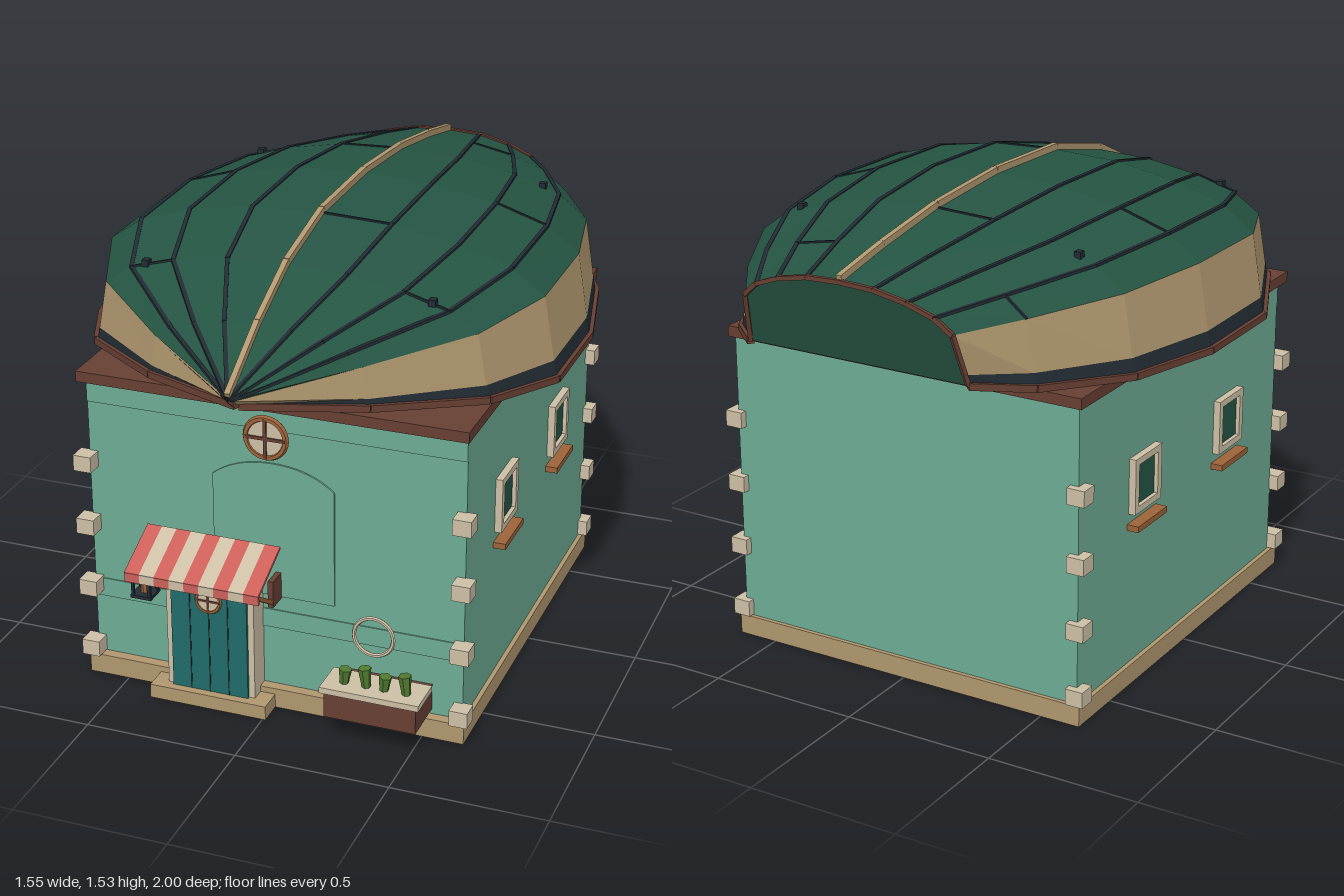
import * as THREE from 'three';
import { mergeGeometries } from 'three/addons/utils/BufferGeometryUtils.js';

const mat = (name, color, side = THREE.FrontSide) => {
  const m = new THREE.MeshStandardMaterial({ color, side, flatShading: true });
  m.name = name;
  return m;
};
const V = (x, y, z) => new THREE.Vector3(x, y, z);

export function createModel() {
  const M = {
    wall: mat('seafoam wall', 0x6dab94),
    green: mat('hull green', 0x255443, THREE.DoubleSide),
    tan: mat('tan', 0xb0976f),
    cream: mat('cream', 0xcdbfa6),
    brown: mat('dark brown', 0x673f33),
    copper: mat('copper', 0x9c6238),
    red: mat('awning red', 0xcc605a),
    teal: mat('door teal', 0x1f6c69),
    navy: mat('navy', 0x222c33),
    leaf: mat('leaf green', 0x4f7a30),
  };
  const model = new THREE.Group();
  model.name = 'boatRoofHouse';

  const add = (name, geo, m) => {
    const mesh = new THREE.Mesh(Array.isArray(geo) ? mergeGeometries(geo) : geo, m);
    mesh.name = name;
    model.add(mesh);
    return mesh;
  };
  // box given by its limits on each axis
  const box = (x0, x1, y0, y1, z0, z1) =>
    new THREE.BoxGeometry(x1 - x0, y1 - y0, z1 - z0).translate((x0 + x1) / 2, (y0 + y1) / 2, (z0 + z1) / 2);
  // straight bar between two points
  const beam = (a, b, w, h) => {
    const o = new THREE.Object3D();
    o.position.copy(a).add(b).multiplyScalar(0.5);
    o.lookAt(b);
    o.updateMatrix();
    return new THREE.BoxGeometry(w, h, a.distanceTo(b)).applyMatrix4(o.matrix);
  };
  const path = (pts, w, h) => pts.slice(1).map((p, i) => beam(pts[i], p, w, h));

  // ---- House body
  add('walls', box(-0.62, 0.62, 0.06, 1.035, -0.683, 0.662), M.wall);
  add('plinth', box(-0.635, 0.635, 0, 0.067, -0.697, 0.697), M.tan);
  add('doorStep', box(-0.385, 0.01, 0, 0.047, 0.66, 0.78), M.tan);
  add('roofSlab', box(-0.635, 0.635, 1.03, 1.065, -0.7, 0.705), M.brown);
  add('frontBands', [box(-0.62, 0.62, 0.27, 0.333, 0.66, 0.666), box(-0.62, 0.62, 0.95, 1.03, 0.66, 0.666)], M.wall);

  const arch = new THREE.Shape();
  arch.moveTo(-0.2, 0.385).lineTo(0.2, 0.385).lineTo(0.2, 0.775);
  arch.quadraticCurveTo(0.12, 0.84, 0, 0.84).quadraticCurveTo(-0.12, 0.84, -0.2, 0.775);
  add('archPanel', new THREE.ExtrudeGeometry(arch, { depth: 0.008, bevelEnabled: false }).translate(0, 0, 0.66), M.wall);

  // corner stones
  const stones = [];
  for (const sx of [-1, 1])
    for (const z of [0.687, -0.678])
      for (const y of [0.097, 0.316, 0.535, 0.755])
        stones.push(new THREE.BoxGeometry(0.06, 0.053, 0.06).translate(sx * 0.622, y, z));
  add('cornerStones', stones, M.cream);

  // ---- Side windows
  for (const s of [-1, 1])
    for (const z of [0.29, -0.285]) {
      const side = (n, y0, y1, z0, z1, d, m) =>
        add(n, box(Math.min(s * 0.61, s * d), Math.max(s * 0.61, s * d), y0, y1, z + z0, z + z1), m);
      side('windowPane', 0.59, 0.75, -0.07, 0.07, 0.63, M.green);
      side('windowFrameTop', 0.738, 0.76, -0.085, 0.085, 0.643, M.cream);
      side('windowFrameBottom', 0.578, 0.6, -0.085, 0.085, 0.643, M.cream);
      side('windowFrameFront', 0.6, 0.738, 0.061, 0.085, 0.643, M.cream);
      side('windowFrameBack', 0.6, 0.738, -0.085, -0.061, 0.643, M.cream);
      side('windowSill', 0.527, 0.547, -0.095, 0.095, 0.66, M.copper);
    }

  // ---- Round windows
  const roundWindow = (name, x, y, z, r, t) => {
    add(name + 'Ring', new THREE.TorusGeometry(r - t, t, 6, 24).translate(x, y, z), M.copper);
    add(name + 'Glass', new THREE.CylinderGeometry(r - t, r - t, t, 24).rotateX(Math.PI / 2).translate(x, y, z), M.cream);
    const b = t * 0.45;
    add(name + 'Bars', [box(x - r + t, x + r - t, y - b, y + b, z, z + t),
      box(x - b, x + b, y - r + t, y + r - t, z, z + t)], M.brown);
  };
  roundWindow('gableWindow', 0, 0.949, 0.717, 0.075, 0.011);
  roundWindow('doorPorthole', -0.187, 0.375, 0.755, 0.046, 0.007);

  // ---- Door
  add('door', box(-0.316, -0.06, 0.047, 0.53, 0.66, 0.752), M.teal);
  add('doorGrooves', [-0.252, -0.188, -0.124].map(x => box(x - 0.002, x + 0.002, 0.047, 0.5, 0.75, 0.754)), M.navy);
  add('doorFrame', [box(-0.336, -0.314, 0.047, 0.54, 0.66, 0.742), box(-0.062, -0.04, 0.047, 0.54, 0.66, 0.742),
    box(-0.336, -0.04, 0.53, 0.55, 0.66, 0.742)], M.cream);

  // ---- Striped awning
  const stripes = [[], []];
  for (let i = 0; i < 9; i++) {
    const w = 0.0495, x = -0.41 + w * (i + 0.5);
    stripes[i % 2].push(beam(V(x, 0.575, 0.7), V(x, 0.493, 0.88), w, 0.01),
      box(x - w / 2, x + w / 2, 0.465, 0.495, 0.872, 0.88));
  }
  add('awningRedStripes', stripes[0], M.red);
  add('awningCreamStripes', stripes[1], M.cream);
  add('awningStruts', [-0.39, 0.015].map(x => beam(V(x, 0.39, 0.72), V(x, 0.487, 0.872), 0.016, 0.014)), M.copper);
  add('strutPlates', [-0.39, 0.015].map(x => box(x - 0.009, x + 0.009, 0.38, 0.47, 0.66, 0.735)), M.brown);

  // ---- Lantern
  const lx = -0.387, lz = 0.785, lantern = [
    box(lx - 0.035, lx + 0.035, 0.375, 0.386, lz - 0.035, lz + 0.035),
    box(lx - 0.035, lx + 0.035, 0.452, 0.464, lz - 0.035, lz + 0.035)];
  for (const a of [-1, 1])
    for (const b of [-1, 1])
      lantern.push(new THREE.BoxGeometry(0.009, 0.08, 0.009).translate(lx + a * 0.028, 0.42, lz + b * 0.028));
  add('lanternFrame', lantern, M.navy);
  add('lanternLight', new THREE.CylinderGeometry(0.014, 0.014, 0.066, 8).translate(lx, 0.419, lz), M.copper);

  // ---- Planter and life ring
  add('planterBox', box(0.222, 0.52, 0.083, 0.172, 0.66, 0.82), M.brown);
  add('planterRim', box(0.21, 0.532, 0.17, 0.19, 0.7, 0.83), M.cream);
  add('plants', [0.275, 0.342, 0.405, 0.472].map((x, i) =>
    new THREE.CylinderGeometry(0.021, 0.014, i % 2 ? 0.065 : 0.05, 6)
      .rotateZ(i % 2 ? 0.09 : -0.09).translate(x, i % 2 ? 0.222 : 0.214, 0.775)), M.leaf);
  add('lifeRing', new THREE.TorusGeometry(0.064, 0.007, 6, 28).translate(0.346, 0.332, 0.715), M.cream);

  // ---- Upturned boat hull: stations are [z at rim, half width, keel y, rim y, z lean to keel]
  const stations = [
    [0.925, 0.004, 1.195, 1.145, 0.07], [0.765, 0.35, 1.335, 1.125, 0], [0.535, 0.64, 1.44, 1.1, 0],
    [0.245, 0.765, 1.505, 1.068, 0], [-0.13, 0.765, 1.513, 1.065, 0], [-0.475, 0.69, 1.487, 1.075, 0],
    [-0.77, 0.525, 1.44, 1.1, 0], [-0.912, 0.385, 1.395, 1.125, -0.08]];
  const half = [[0, 1], [0.3, 0.98], [0.58, 0.895], [0.8, 0.775], [0.94, 0.6], [0.985, 0.13], [1, 0]];
  const profile = [...half.slice(1).reverse().map(([s, f]) => [-s, f]), ...half];
  const hull = stations.map(([z, w, yk, yr, lean]) =>
    profile.map(([s, f]) => V(s * w, yr + (yk - yr) * f, z + lean * f)));
  const lining = hull.map(row => row.map(p => V(p.x * 0.975, p.y - 0.012, p.z)));

  // flat-faced skin over the chosen profile columns
  const skin = (grid, cols, flip) => {
    const pos = [];
    for (let k = 0; k < grid.length - 1; k++)
      for (const j of cols) {
        const [a, b, c, d] = [grid[k][j], grid[k][j + 1], grid[k + 1][j + 1], grid[k + 1][j]];
        for (const p of flip ? [a, c, b, a, d, c] : [a, b, c, a, c, d]) pos.push(p.x, p.y, p.z);
      }
    const g = new THREE.BufferGeometry();
    g.setAttribute('position', new THREE.Float32BufferAttribute(pos, 3));
    g.computeVertexNormals();
    return g;
  };
  add('hullTop', skin(hull, [2, 3, 4, 5, 6, 7, 8, 9]), M.green);
  add('hullSides', skin(hull, [1, 10]), M.tan);
  add('hullWaterBand', skin(hull, [0, 11]), M.navy);
  add('hullLining', skin(lining, profile.slice(1).map((_, j) => j), true), M.navy);

  // stern board and its trim
  const stern = hull[7];
  const board = new THREE.ShapeGeometry(new THREE.Shape(stern.map(p => new THREE.Vector2(p.x, p.y))));
  const bp = board.attributes.position;
  for (let i = 0; i < bp.count; i++) bp.setZ(i, -0.912 - 0.08 * (bp.getY(i) - 1.125) / 0.27);
  board.computeVertexNormals();
  add('sternBoard', board, M.green);
  add('sternTrim', path(stern, 0.014, 0.014), M.brown);

  // rim rails, keel, plank seams
  add('rimRails', [0, 12].flatMap(j => path(hull.map(r => r[j]), 0.022, 0.022)), M.brown);
  add('keel', path(hull.map(r => r[6].clone().add(V(0, 0.008, 0))), 0.018, 0.026), M.tan);
  add('plankSeams', [3, 4, 5, 7, 8, 9].flatMap(j => path(hull.map(r => r[j]), 0.013, 0.009)), M.navy);
  add('plankJoints', [[5, 5], [3, 6], [4, 8], [4, 3], [6, 7], [6, 2], [2, 8], [2, 3]]
    .map(([k, j]) => beam(hull[k][j], hull[k][j + 1], 0.008, 0.008)), M.navy);
  add('hullBolts', [2, 5].flatMap(k => [[8, 9], [4, 3]].map(([a, b]) => {
    const p = hull[k][a].clone().lerp(hull[k][b], 0.64);
    return new THREE.BoxGeometry(0.022, 0.022, 0.024).translate(p.x, p.y + 0.006, p.z);
  })), M.navy);

  return model;
}
